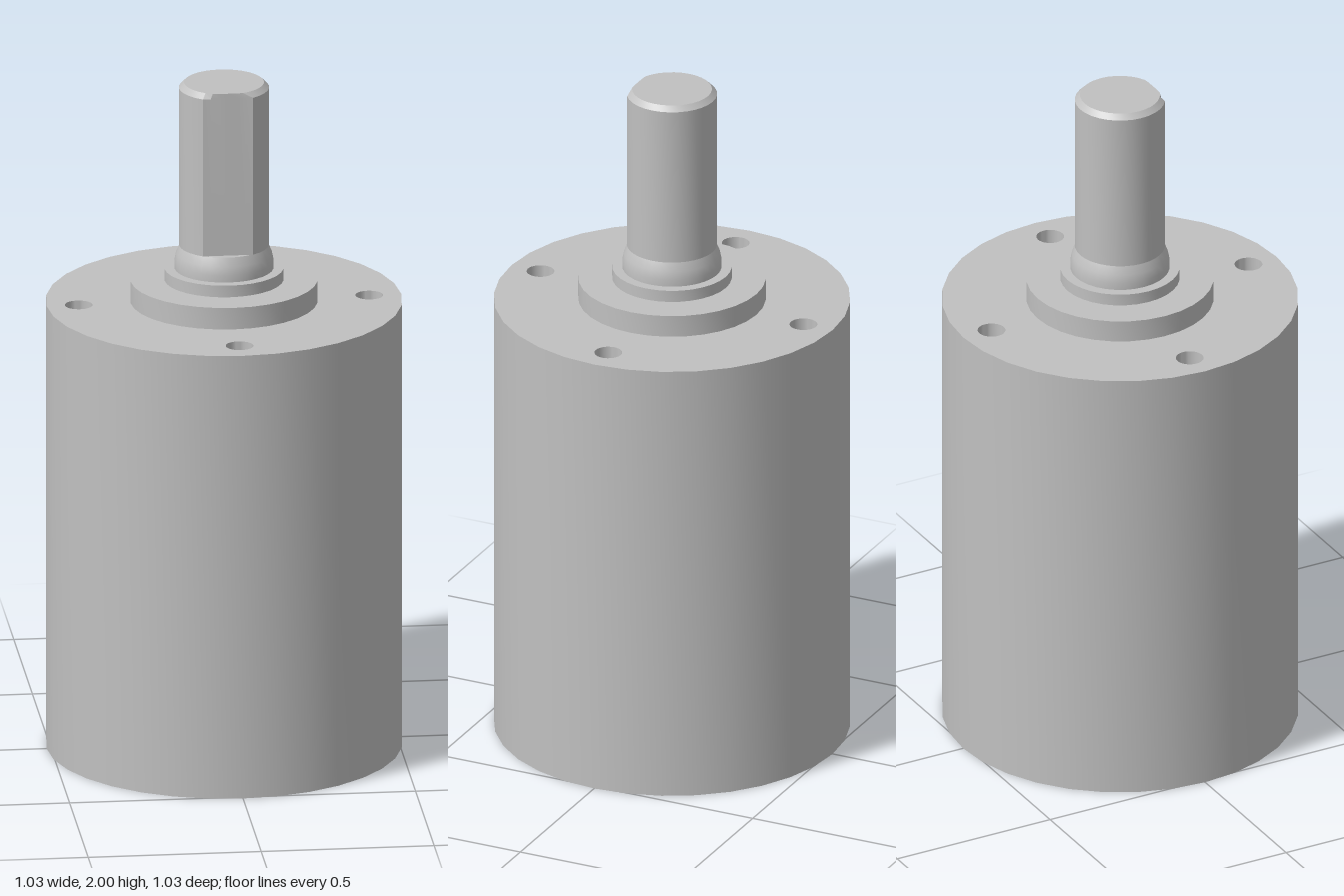
import * as THREE from 'three';
import { toCreasedNormals } from 'three/addons/utils/BufferGeometryUtils.js';

const SEGMENTS = 32;
const BODY_R = 0.513, BODY_TOP = 1.34, BOSS_R = 0.27;

export function createModel() {
  const group = new THREE.Group();
  const metal = new THREE.MeshStandardMaterial({ color: 0xc0c0c0 });
  metal.name = 'grey metal';

  const add = (name, geometry) => {
    const mesh = new THREE.Mesh(geometry, metal);
    mesh.name = name;
    group.add(mesh);
    return mesh;
  };
  const turned = (profile, segments = SEGMENTS) =>
    new THREE.LatheGeometry(profile.map(([r, y]) => new THREE.Vector2(r, y)), segments);
  const creased = (geometry) => toCreasedNormals(geometry, 0.45);

  // Hollow housing: centre bore, stepped cavity, thin rim, outer wall
  add('housing', creased(turned([
    [0, 1.2], [0.235, 1.2], [0.235, 0.36], [0.465, 0.36], [0.465, 0.33],
    [0.485, 0.33], [0.485, 0.17], [0.493, 0.17], [0.493, 0],
    [BODY_R, 0], [BODY_R, BODY_TOP],
  ].map(([r, y]) => [r, y]))));

  // Ring-shaped top face pierced by four screw holes
  const face = new THREE.Shape().absarc(0, 0, BODY_R, 0, Math.PI * 2);
  face.holes.push(new THREE.Path().absarc(0, 0, BOSS_R, 0, Math.PI * 2, true));
  const cup = creased(turned([[0.04, 0], [0.04, -0.2], [0, -0.2]]));
  for (let i = 0; i < 4; i++) {
    const a = i * Math.PI / 2;
    const x = 0.42 * Math.cos(a), z = 0.42 * Math.sin(a);
    face.holes.push(new THREE.Path().absarc(x, z, 0.04, 0, Math.PI * 2, true));
    add('screwHole', cup).position.set(x, BODY_TOP, z);
  }
  add('topFace', new THREE.ShapeGeometry(face, SEGMENTS / 2)
    .rotateX(-Math.PI / 2).translate(0, BODY_TOP, 0));

  // Raised boss and bearing collar
  add('boss', creased(turned([
    [BOSS_R, BODY_TOP], [BOSS_R, 1.405], [0.172, 1.405], [0.172, 1.44], [0.12, 1.44],
  ])));

  // Rounded shoulder at the foot of the shaft
  add('shoulder', creased(turned([
    [0.143, 1.44], [0.143, 1.46], [0.138, 1.485], [0.127, 1.51], [0, 1.51],
  ])));

  // Chamfered shaft, with a flat cut along its front
  const shaft = turned([[0.13, 1.51], [0.13, 1.985], [0.115, 2], [0, 2]]);
  const p = shaft.attributes.position;
  for (let i = 0; i < p.count; i++) p.setZ(i, Math.min(p.getZ(i), 0.108));
  add('shaft', creased(shaft));

  return group;
}
